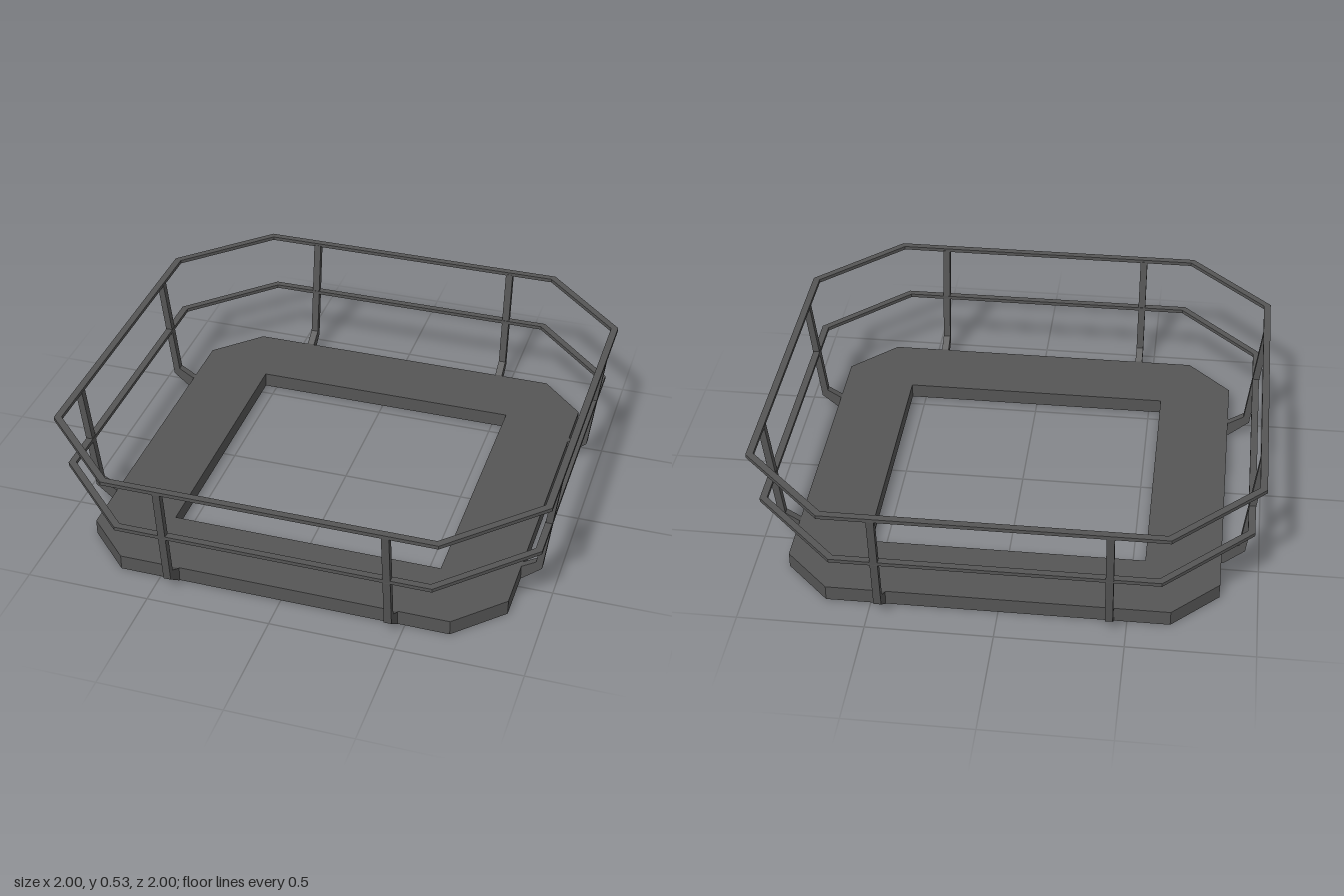
import * as THREE from 'three';

// Square outline with cut corners: half = half width, c = where the cut begins
function octagon(PathType, half, c) {
  const pts = [
    [half, -c], [half, c], [c, half], [-c, half],
    [-half, c], [-half, -c], [-c, -half], [c, -half],
  ];
  return new PathType(pts.map(([x, y]) => new THREE.Vector2(x, y)));
}

// Extrude a plan outline upwards from y0 to y1
function slab(shape, y0, y1) {
  const geo = new THREE.ExtrudeGeometry(shape, { depth: y1 - y0, bevelEnabled: false });
  geo.rotateX(-Math.PI / 2);
  geo.translate(0, y0, 0);
  return geo;
}

// Flat octagonal rail of constant width
function rail(half, c, width, y0, y1) {
  const shape = octagon(THREE.Shape, half, c);
  const inset = width * Math.tan(Math.PI / 8);
  shape.holes.push(octagon(THREE.Path, half - width, c - inset));
  return slab(shape, y0, y1);
}

export function createModel() {
  const model = new THREE.Group();
  model.name = 'railedPlatform';
  const darkGrey = new THREE.MeshStandardMaterial({ color: 0x555555 });
  darkGrey.name = 'darkGrey';

  const add = (name, geo, x = 0, z = 0) => {
    const mesh = new THREE.Mesh(geo, darkGrey);
    mesh.name = name;
    mesh.position.set(x, 0, z);
    model.add(mesh);
    return mesh;
  };

  // Deck with a square opening
  const deck = octagon(THREE.Shape, 0.855, 0.672);
  const h = 0.556;
  deck.holes.push(new THREE.Path([[-h, -h], [-h, h], [h, h], [h, -h]]
    .map(([x, y]) => new THREE.Vector2(x, y))));
  add('deck', slab(deck, 0, 0.062), 0.005);

  // Top and middle rails
  add('topRail', rail(1.0, 0.657, 0.028, 0.515, 0.53));
  add('middleRail', rail(0.969, 0.63, 0.028, 0.284, 0.299));

  // Bent posts, two on each side
  const profile = new THREE.Shape([
    [0.85, 0], [0.858, 0], [0.942, 0.07], [0.998, 0.52],
    [0.971, 0.52], [0.917, 0.098], [0.858, 0.062], [0.85, 0.062],
  ].map(([x, y]) => new THREE.Vector2(x, y)));
  const postGeo = new THREE.ExtrudeGeometry(profile, { depth: 0.03, bevelEnabled: false });
  postGeo.translate(0, 0, -0.015);
  for (let side = 0; side < 4; side++) {
    const onEnds = side % 2 === 1; // front and back sides
    for (const t of onEnds ? [-0.435, 0.456] : [-0.447, 0.437]) {
      const post = add('post', postGeo, onEnds ? t : 0, onEnds ? 0 : t);
      post.rotation.y = side * Math.PI / 2;
    }
  }

  return model;
}
